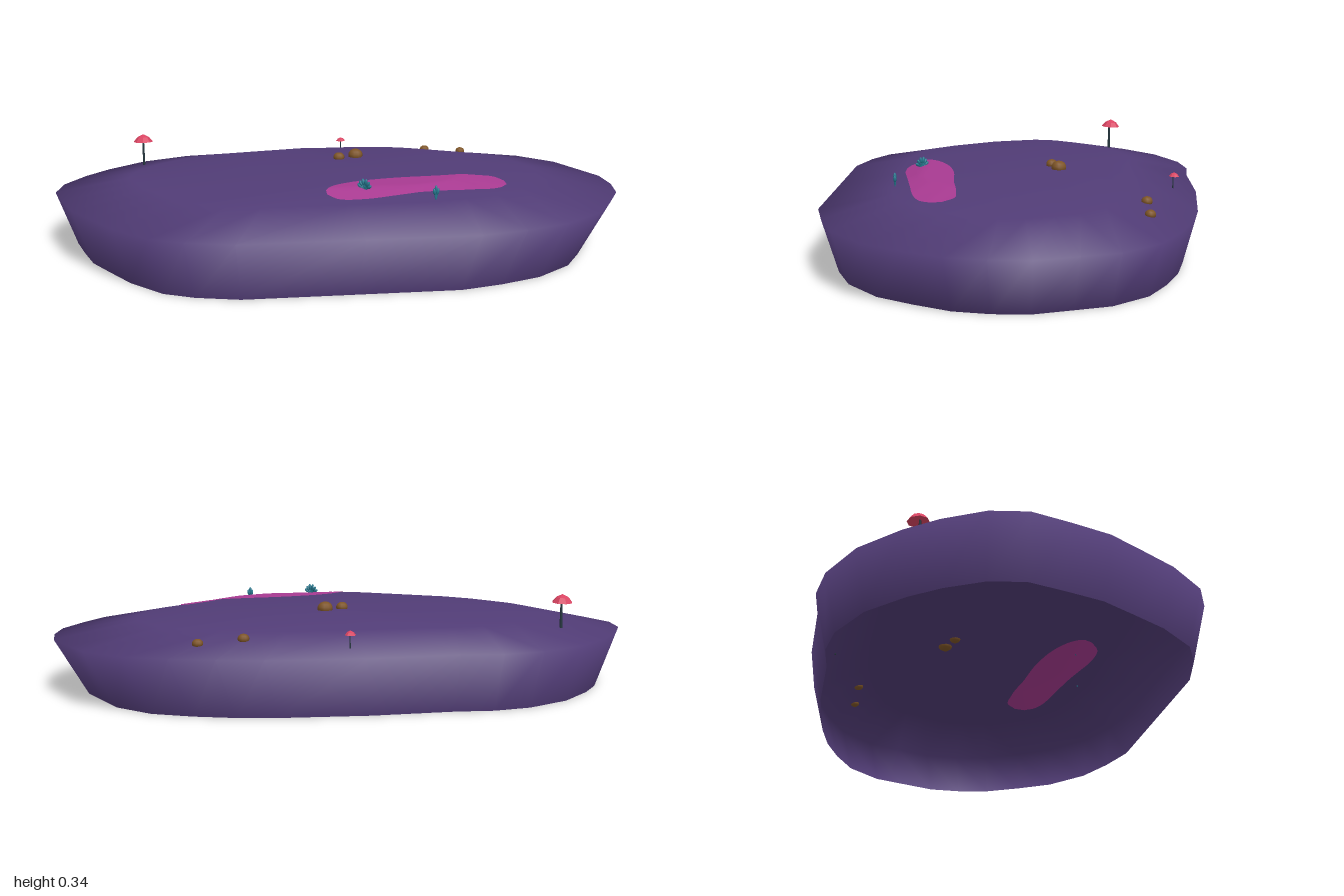
import * as THREE from 'three';

const mat = (name, color, extra = {}) => {
  const m = new THREE.MeshStandardMaterial({ color, ...extra });
  m.name = name;
  return m;
};

// Rim outline as x, z pairs
const RIM = [
  -0.39, -0.65, -0.25, -0.635, 0.05, -0.635, 0.365, -0.605, 0.51, -0.575, 0.65, -0.525,
  0.79, -0.455, 0.905, -0.33, 0.95, -0.21, 1, -0.075, 1, 0.05, 0.975, 0.175,
  0.905, 0.305, 0.825, 0.43, 0.68, 0.545, 0.525, 0.605, 0.37, 0.645, 0, 0.645, -0.4, 0.645,
  -0.555, 0.605, -0.665, 0.55, -0.78, 0.42, -0.855, 0.295, -0.925, 0.175, -0.965, 0.045,
  -1, -0.085, -0.98, -0.205, -0.91, -0.33, -0.83, -0.43, -0.7, -0.55, -0.53, -0.63,
];
// Scaled copies of the rim: x scale, z scale, x shift, height
const RINGS = [
  [0.91, 0.935, -0.02, 0],
  [1, 1, 0, 0.19],
  [0.73, 0.65, -0.01, 0.243],
  [0.39, 0.5, 0.07, 0.275],
];

function shellGeometry() {
  const n = RIM.length / 2, pos = [], idx = [];
  for (const [sx, sz, dx, y] of RINGS)
    for (let i = 0; i < n; i++) pos.push(RIM[2 * i] * sx + dx, y, RIM[2 * i + 1] * sz);
  pos.push(0.07, 0.275, 0);
  for (let i = 0; i < n; i++) {
    const j = (i + 1) % n;
    for (let r = 0; r < RINGS.length - 1; r++) {
      const a = r * n + i, b = r * n + j;
      idx.push(a, a + n, b, b, a + n, b + n);
    }
    const last = (RINGS.length - 1) * n;
    idx.push(last + i, RINGS.length * n, last + j);
  }
  const g = new THREE.BufferGeometry();
  g.setAttribute('position', new THREE.Float32BufferAttribute(pos, 3));
  g.setIndex(idx);
  g.computeVertexNormals();
  return g;
}

// Pool edge: x, back z, front z
const POOL = [
  [-0.085, 0.335, 0.36], [-0.05, 0.29, 0.39], [0.03, 0.245, 0.395], [0.165, 0.212, 0.375],
  [0.33, 0.198, 0.345], [0.46, 0.18, 0.318], [0.52, 0.18, 0.29], [0.55, 0.215, 0.255],
];

// Thin sheet draped over the ground
function poolGeometry(ground, lift) {
  const curve = (k) => new THREE.CatmullRomCurve3(POOL.map((p) => new THREE.Vector3(p[0], 0, p[k])));
  const back = curve(1), front = curve(2), p = new THREE.Vector3();
  const nu = 40, nv = 10, g = new THREE.PlaneGeometry(1, 1, nu, nv), pos = g.attributes.position;
  for (let v = 0, k = 0; v <= nv; v++)
    for (let u = 0; u <= nu; u++, k++) {
      p.lerpVectors(back.getPoint(u / nu), front.getPoint(u / nu), v / nv);
      pos.setXYZ(k, p.x, ground(p.x, p.z) + lift, p.z);
    }
  g.computeVertexNormals();
  return g;
}

export function createModel() {
  const root = new THREE.Group();
  root.name = 'alienIsland';
  const soil = mat('purple soil', 0x513c76, { side: THREE.DoubleSide });
  const pink = mat('magenta pool', 0xa83a91, { side: THREE.DoubleSide });
  const red = mat('mushroom red', 0xd94462, { flatShading: true });
  const dark = mat('dark stem', 0x25363e);
  const brown = mat('rock brown', 0x7d5426);
  const teal = mat('plant teal', 0x25798f);

  const add = (parent, name, geo, material, x = 0, y = 0, z = 0) => {
    const m = new THREE.Mesh(geo, material);
    m.name = name;
    m.position.set(x, y, z);
    parent.add(m);
    return m;
  };
  const group = (name, x, y, z) => {
    const g = new THREE.Group();
    g.name = name;
    g.position.set(x, y, z);
    root.add(g);
    return g;
  };

  // Open-bottomed island shell
  const shell = add(root, 'islandShell', shellGeometry(), soil);
  const ray = new THREE.Raycaster();
  const ground = (x, z) => {
    ray.set(new THREE.Vector3(x, 1, z), new THREE.Vector3(0, -1, 0));
    const hit = ray.intersectObject(shell)[0];
    return hit ? hit.point.y : 0.275;
  };

  // Pool, showing on both sides of the ground
  add(root, 'pool', poolGeometry(ground, 0.003), pink);
  add(root, 'poolUnderside', poolGeometry(ground, -0.003), pink);

  // Mushrooms: x, z, cap radius, tip height
  for (const [x, z, r, top] of [[-0.695, -0.36, 0.036, 0.337], [0.085, -0.55, 0.018, 0.266]]) {
    const y = ground(x, z) - 0.005, g = group('mushroom', x, y, z), h = top - y;
    add(g, 'mushroomStem', new THREE.CylinderGeometry(r * 0.1, r * 0.14, h - r * 0.4, 6), dark, 0, (h - r * 0.4) / 2);
    const profile = [[0, h - r * 0.6], [r, h - r * 0.8], [r * 0.6, h - r * 0.3], [0, h]];
    const cap = add(g, 'mushroomCap', new THREE.LatheGeometry(profile.map((p) => new THREE.Vector2(...p)), 8), red);
    cap.rotation.x = -0.06;
  }

  // Round rocks: x, z, radius
  for (const [x, z, r] of [[0.02, -0.125, 0.021], [0.085, -0.15, 0.027], [0.405, -0.435, 0.019], [0.55, -0.435, 0.018]]) {
    const rock = add(root, 'rock', new THREE.SphereGeometry(r, 10, 7), brown, x, ground(x, z) + r * 0.25, z);
    rock.scale.y = 0.85;
  }

  // Fan plants made of slim lobes: x, z, height, lobes, spread, turn
  for (const [x, z, h, count, spread, turn] of [
    [0.043, 0.335, 0.042, 6, 0.95, -Math.PI / 4],
    [0.27, 0.402, 0.05, 3, 0.2, 0.1],
  ]) {
    const g = group('fanPlant', x, ground(x, z) - 0.003, z);
    g.rotation.y = turn;
    for (let i = 0; i < count; i++) {
      const t = (i / (count - 1)) * 2 - 1, len = h * (1 - 0.18 * Math.abs(t));
      const lobe = group('plantLobe', 0, 0, 0);
      g.add(lobe);
      lobe.rotation.z = -t * spread;
      add(lobe, 'lobeStem', new THREE.CylinderGeometry(0.0028, 0.0022, len * 0.6, 6), teal, 0, len * 0.3);
      add(lobe, 'lobeTip', new THREE.SphereGeometry(0.0055, 8, 6), teal, 0, len * 0.72).scale.y = len * 0.28 / 0.0055;
    }
  }
  return root;
}
